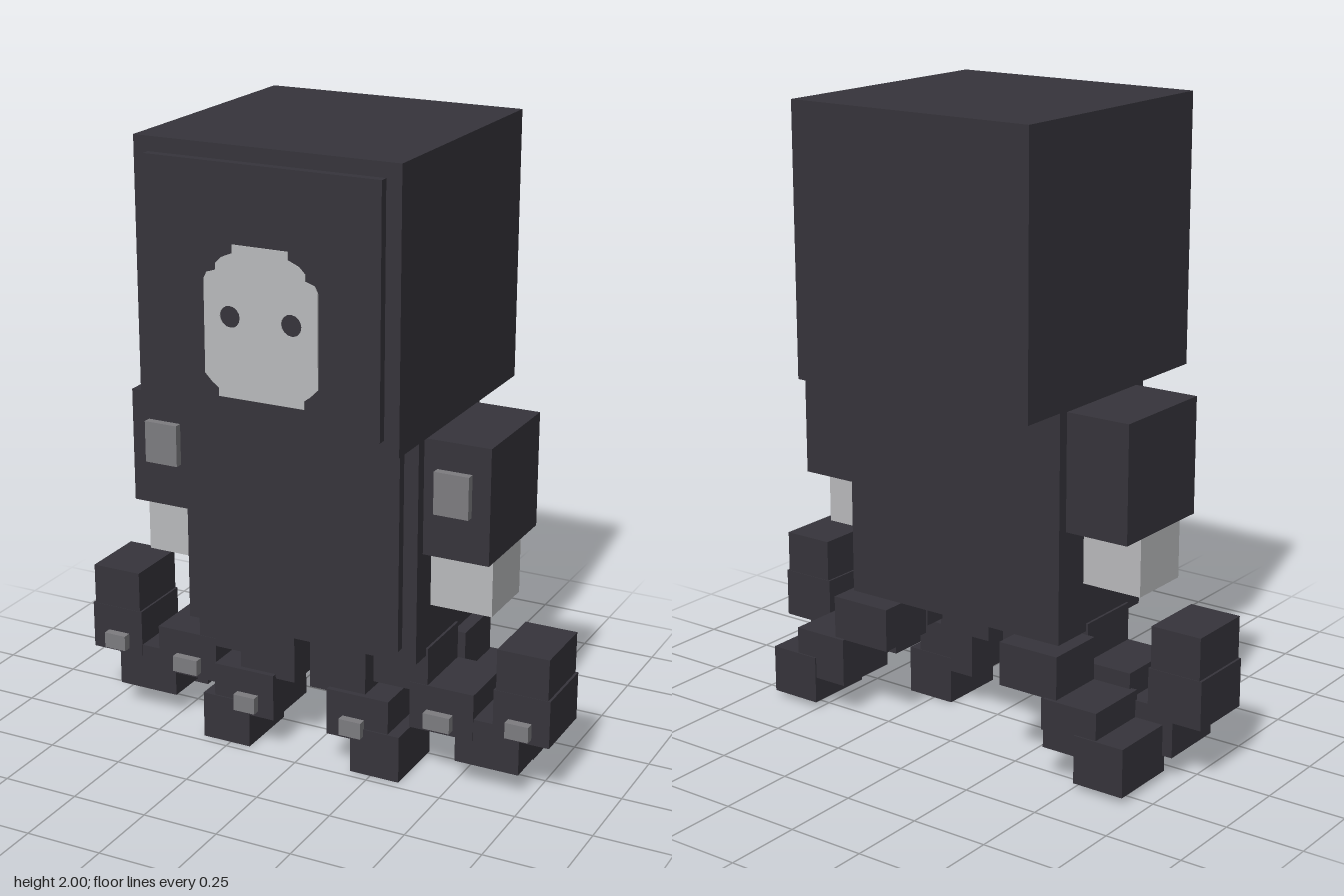
import * as THREE from 'three';

const charcoal = new THREE.MeshStandardMaterial({ color: 0x36343b });
charcoal.name = 'charcoal';
const pale = new THREE.MeshStandardMaterial({ color: 0xb9babc });
pale.name = 'pale grey';
const grey = new THREE.MeshStandardMaterial({ color: 0x7d7c80 });
grey.name = 'mid grey';

// Box given by its lower and upper limits on each axis
function addBox(parent, name, material, [x0, x1], [y0, y1], [z0, z1]) {
  const mesh = new THREE.Mesh(new THREE.BoxGeometry(x1 - x0, y1 - y0, z1 - z0), material);
  mesh.position.set((x0 + x1) / 2, (y0 + y1) / 2, (z0 + z1) / 2);
  mesh.name = name;
  parent.add(mesh);
}

// Same box on the model's left (+x) and right (-x)
function addPair(parent, name, material, [x0, x1], y, z) {
  addBox(parent, name + 'Left', material, [x0, x1], y, z);
  addBox(parent, name + 'Right', material, [-x1, -x0], y, z);
}

// Stepped face outline with two round eye openings showing the dark panel
function createFace() {
  const half = [
    [0.14, 1.26], [0.14, 1.285], [0.16, 1.3], [0.185, 1.325], [0.185, 1.61],
    [0.175, 1.63], [0.145, 1.64], [0.145, 1.66], [0.125, 1.68], [0.09, 1.695], [0.09, 1.72],
  ];
  const outline = [...half, ...half.map(([x, y]) => [-x, y]).reverse()];
  const shape = new THREE.Shape(outline.map(([x, y]) => new THREE.Vector2(x, y)));
  for (const x of [-0.1, 0.1]) {
    const eye = new THREE.Path();
    eye.absarc(x, 1.505, 0.033, 0, Math.PI * 2, true);
    shape.holes.push(eye);
  }
  const geometry = new THREE.ExtrudeGeometry(shape, { depth: 0.004, bevelEnabled: false, curveSegments: 8 });
  const face = new THREE.Mesh(geometry, pale);
  face.name = 'face';
  face.position.z = 0.44;
  return face;
}

export function createModel() {
  const model = new THREE.Group();
  model.name = 'tentacledFigure';

  // Head with raised front panel and face
  const head = new THREE.Group();
  head.name = 'head';
  addBox(head, 'headBlock', charcoal, [-0.428, 0.428], [1.15, 2], [-0.44, 0.412]);
  addBox(head, 'headPanel', charcoal, [-0.38, 0.38], [1.195, 1.955], [0.4, 0.44]);
  head.add(createFace());
  model.add(head);

  // Torso, neck and chest panel
  const body = new THREE.Group();
  body.name = 'body';
  addBox(body, 'torso', charcoal, [-0.397, 0.397], [0.41, 1.138], [-0.235, 0.21]);
  addBox(body, 'neck', charcoal, [-0.2, 0.2], [1.13, 1.16], [-0.2, 0.17]);
  addBox(body, 'chestPanel', charcoal, [-0.35, 0.35], [0.455, 1.09], [0.2, 0.24]);
  model.add(body);

  // Arms: sleeve, hand and sleeve patch
  const arms = new THREE.Group();
  arms.name = 'arms';
  addPair(arms, 'sleeve', charcoal, [0.39, 0.612], [0.76, 1.13], [-0.2, 0.172]);
  addPair(arms, 'hand', pale, [0.395, 0.6], [0.57, 0.765], [-0.105, 0.11]);
  addPair(arms, 'sleevePatch', grey, [0.44, 0.553], [0.905, 1.04], [0.165, 0.198]);
  model.add(arms);

  // Tentacles: chains of blocks as [x range, y range, z range], with suckers in front
  const tentacles = {
    frontTentacle: {
      blocks: [
        [[0.028, 0.22], [0.25, 0.41], [-0.01, 0.197]],
        [[0.095, 0.307], [0.11, 0.265], [-0.01, 0.215]],
        [[0.18, 0.347], [0, 0.155], [-0.012, 0.22]],
      ],
      suckers: [[[0.15, 0.225], [0.13, 0.185], [0.21, 0.242]]],
    },
    sideTentacle: {
      blocks: [
        [[0.215, 0.405], [0.285, 0.435], [-0.088, 0.138]],
        [[0.345, 0.56], [0.157, 0.312], [-0.09, 0.14]],
        [[0.5, 0.712], [0.075, 0.23], [-0.088, 0.138]],
        [[0.625, 0.81], [0.19, 0.347], [-0.09, 0.14]],
        [[0.632, 0.802], [0.33, 0.482], [-0.088, 0.138]],
      ],
      suckers: [
        [[0.403, 0.492], [0.177, 0.23], [0.13, 0.168]],
        [[0.675, 0.752], [0.208, 0.26], [0.13, 0.168]],
      ],
    },
    backTentacle: {
      blocks: [
        [[0.22, 0.43], [0.26, 0.4], [-0.292, -0.09]],
        [[0.39, 0.58], [0.105, 0.262], [-0.303, -0.08]],
        [[0.505, 0.678], [0.02, 0.175], [-0.308, -0.075]],
      ],
      suckers: [[[0.44, 0.51], [0.125, 0.18], [-0.085, -0.055]]],
    },
  };
  for (const [name, { blocks, suckers }] of Object.entries(tentacles)) {
    const pair = new THREE.Group();
    pair.name = name + 's';
    blocks.forEach((ranges, i) => addPair(pair, `${name}Segment${i + 1}`, charcoal, ...ranges));
    suckers.forEach((ranges, i) => addPair(pair, `${name}Sucker${i + 1}`, grey, ...ranges));
    model.add(pair);
  }

  return model;
}
